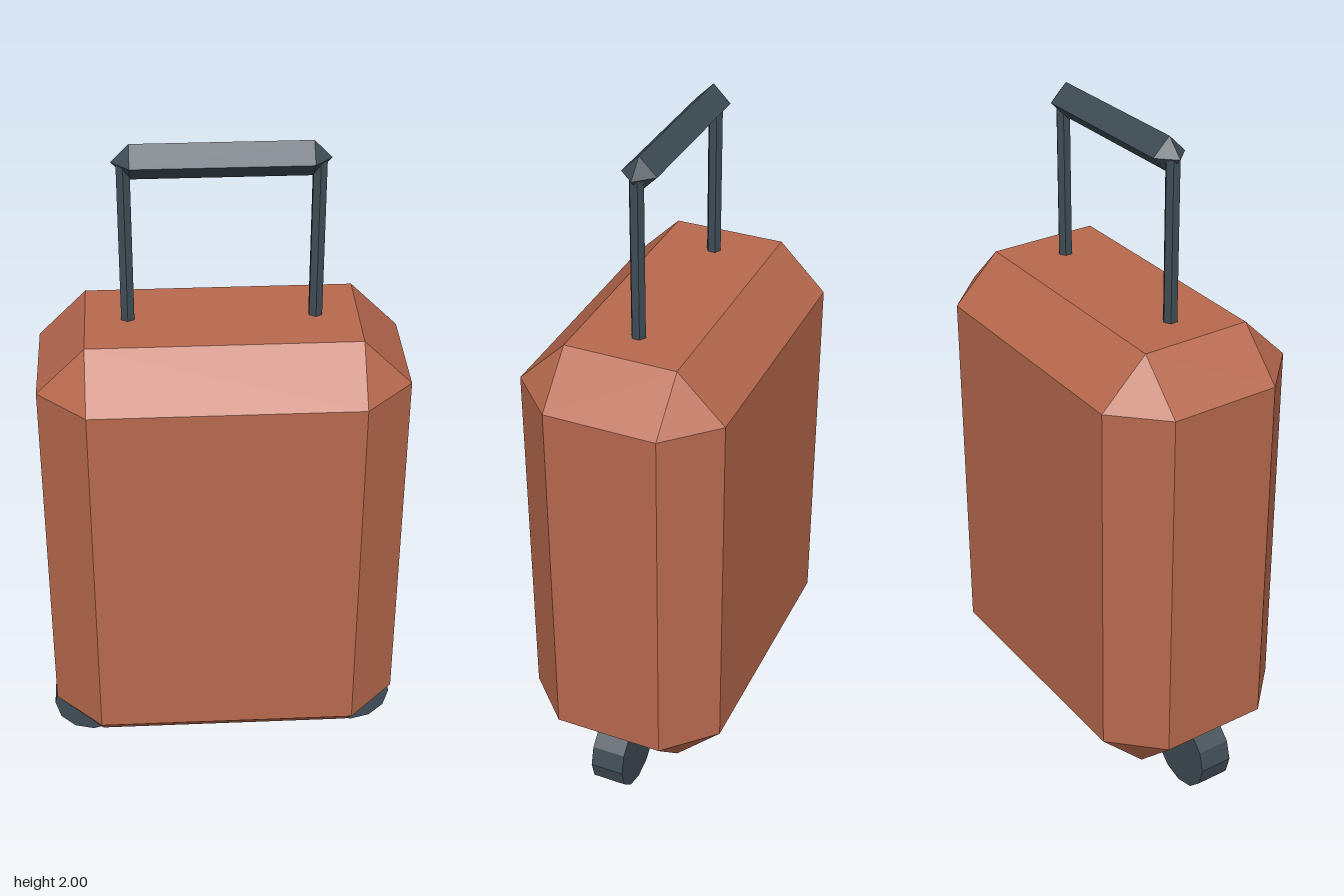
import * as THREE from 'three';
import { ConvexGeometry } from 'three/addons/geometries/ConvexGeometry.js';

const shell = new THREE.MeshStandardMaterial({ color: 0xb8694e, flatShading: true });
const dark = new THREE.MeshStandardMaterial({ color: 0x3f4c55, flatShading: true });

// Box with every edge bevelled and every corner cut to a triangle
function chamferBox(w, h, d, c) {
  const [x, y, z] = [w / 2, h / 2, d / 2];
  const points = [];
  for (const sx of [-1, 1]) for (const sy of [-1, 1]) for (const sz of [-1, 1]) {
    points.push(
      new THREE.Vector3(sx * x, sy * (y - c), sz * (z - c)),
      new THREE.Vector3(sx * (x - c), sy * y, sz * (z - c)),
      new THREE.Vector3(sx * (x - c), sy * (y - c), sz * z)
    );
  }
  return new ConvexGeometry(points);
}

export function createModel() {
  const model = new THREE.Group();
  model.name = 'suitcase';

  const add = (name, geometry, material, x, y) => {
    const mesh = new THREE.Mesh(geometry, material);
    mesh.name = name;
    mesh.position.set(x, y, 0);
    model.add(mesh);
  };

  // Case
  add('caseBody', chamferBox(1.032, 1.376, 0.6, 0.137), shell, 0, 0.795);

  // Wheels and telescopic poles, one per side
  const wheel = new THREE.CylinderGeometry(0.117, 0.117, 0.1, 12).rotateX(Math.PI / 2);
  const pole = new THREE.CylinderGeometry(0.021, 0.021, 0.55, 6);
  for (const [side, s] of [['left', 1], ['right', -1]]) {
    add(side + 'Wheel', wheel, dark, s * 0.415, 0.117);
    add(side + 'HandlePole', pole, dark, s * 0.26, 1.675);
  }

  // Diamond-section grip with pointed ends
  const profile = [[0, -0.292], [0.05, -0.243], [0.05, 0.243], [0, 0.292]]
    .map(([r, y]) => new THREE.Vector2(r, y));
  const grip = new THREE.LatheGeometry(profile, 4).rotateZ(Math.PI / 2);
  add('handleGrip', grip, dark, 0, 1.95);

  return model;
}
